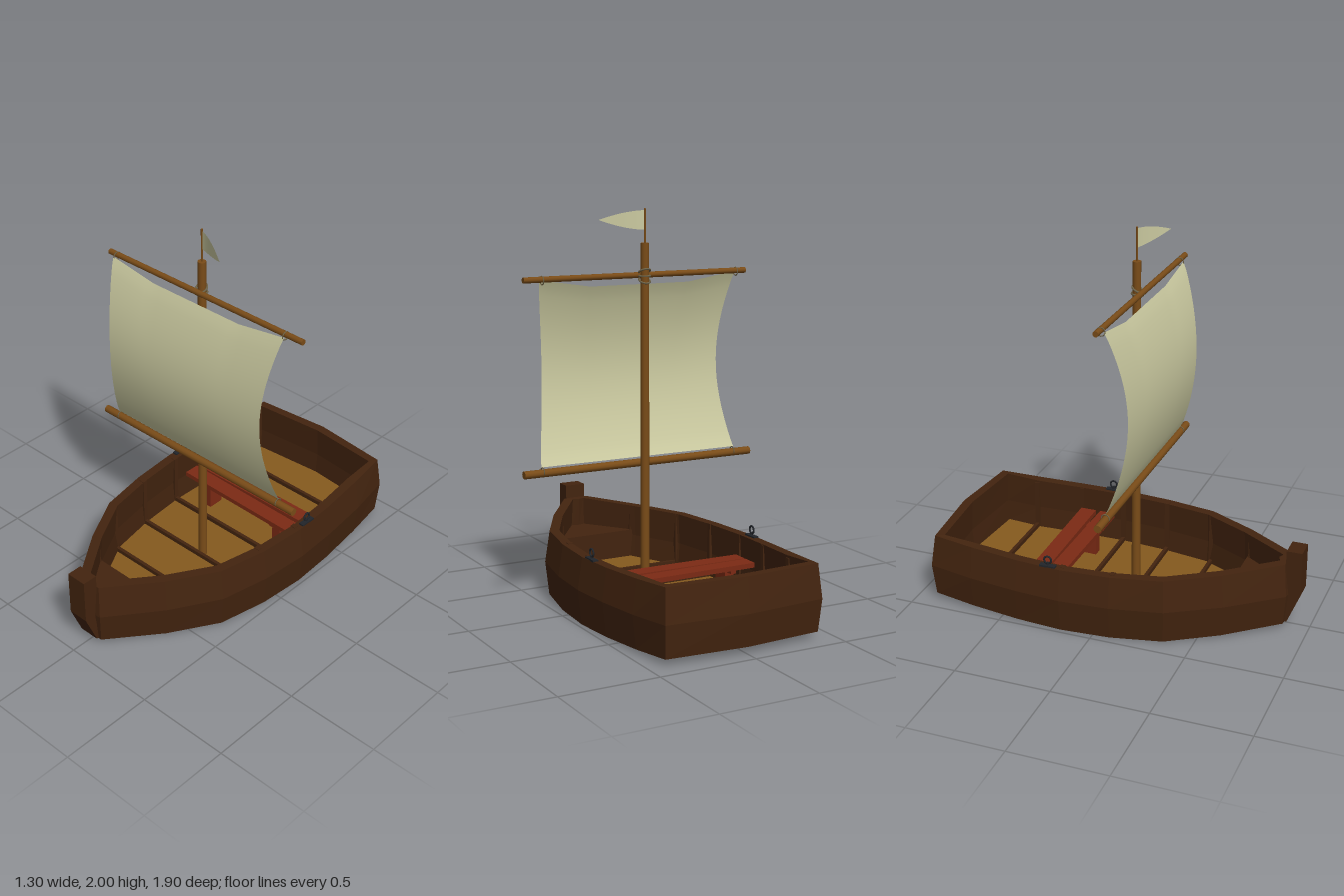
import * as THREE from 'three';

const mat = (color, flat = true) =>
  new THREE.MeshStandardMaterial({ color, flatShading: flat, side: THREE.DoubleSide });
const darkWood = mat(0x43240f), floorWood = mat(0x855a1e), sparWood = mat(0x7a4c18, false);
const redWood = mat(0x7c2a14), cloth = mat(0xcdcca2, false), iron = mat(0x22252a, false), rope = mat(0x6f6448, false);

function add(parent, name, geometry, material, x = 0, y = 0, z = 0) {
  const mesh = new THREE.Mesh(geometry, material);
  mesh.name = name;
  mesh.position.set(x, y, z);
  parent.add(mesh);
  return mesh;
}

// Half outline of the hull at its widest level: [half width, z], stern to bow
const half = [[0, -0.95], [0.425, -0.91], [0.463, -0.67], [0.487, -0.41], [0.497, -0.17],
  [0.477, 0.09], [0.425, 0.36], [0.28, 0.62], [0.085, 0.89], [0, 0.9]];
const outline = [...half, ...half.slice(1, -1).reverse().map(([x, z]) => [-x, z])];
const rise = (base, lift) => z => base + lift * (z / 0.9) ** 2;
const keelY = rise(0.003, 0.032), midY = rise(0.18, 0.02), sheerY = rise(0.342, 0.028), floorY = rise(0.06, 0.025);

// One closed ring: the outline moved inward by inset, at a height depending on z
function ring(inset, height, widthScale = 1) {
  const n = outline.length;
  return outline.map(([x, z], i) => {
    const p = outline[(i + n - 1) % n], q = outline[(i + 1) % n];
    const tx = q[0] - p[0], tz = q[1] - p[1], l = Math.hypot(tx, tz);
    return [(x - inset * tz / l) * widthScale, height(z), z + inset * tx / l];
  });
}

// Skin through successive rings
function loft(rings) {
  const pos = [], index = [], n = rings[0].length;
  rings.forEach(r => r.forEach(p => pos.push(...p)));
  for (let k = 0; k < rings.length - 1; k++) {
    for (let i = 0; i < n; i++) {
      const a = k * n + i, b = k * n + (i + 1) % n, c = a + n, d = b + n;
      index.push(a, c, b, b, c, d);
    }
  }
  const g = new THREE.BufferGeometry();
  g.setAttribute('position', new THREE.Float32BufferAttribute(pos, 3));
  g.setIndex(index);
  const flat = g.toNonIndexed();
  flat.computeVertexNormals();
  return flat;
}

// Curved sheet from a rule p(u, v), both running 0..1
function sheet(nu, nv, rule) {
  const g = new THREE.PlaneGeometry(1, 1, nu, nv), p = g.attributes.position;
  for (let i = 0; i < p.count; i++) p.setXYZ(i, ...rule(p.getX(i) + 0.5, p.getY(i) + 0.5));
  g.computeVertexNormals();
  return g;
}

function buildHull(boat) {
  const hull = new THREE.Group();
  hull.name = 'hull';
  boat.add(hull);
  add(hull, 'planking', loft([ring(0.02, keelY, 0), ring(0.02, keelY), ring(0, midY),
    ring(0.025, sheerY), ring(0.075, sheerY), ring(0.065, midY), ring(0.075, floorY)]), darkWood);
  add(hull, 'floor', loft([ring(0.07, floorY), ring(0.07, floorY, 0)]), floorWood);

  // Frames across the floor and up the inner sides
  for (const [w, z] of half.slice(2, 8)) {
    add(hull, 'floorRib', new THREE.BoxGeometry(2 * w - 0.13, 0.03, 0.018), darkWood, 0, floorY(z) + 0.008, z);
    for (const s of [-1, 1]) {
      add(hull, 'sideRib', new THREE.BoxGeometry(0.03, 0.27, 0.025), darkWood, s * (w - 0.065), 0.21, z);
    }
  }

  // Raised bow deck closing off the front compartment
  const deck = new THREE.Shape([[-0.23, 0.6], [0.23, 0.6], [0.05, 0.86], [-0.05, 0.86]]
    .map(p => new THREE.Vector2(...p)));
  add(hull, 'bowDeck', new THREE.ExtrudeGeometry(deck, { depth: 0.15, bevelEnabled: false })
    .rotateX(Math.PI / 2), darkWood, 0, 0.22, 0);

  // Stem post, drawn as (z, y)
  const stem = new THREE.Shape([[0.87, 0.04], [0.89, 0.04], [0.955, 0.2], [0.955, 0.44], [0.875, 0.44]]
    .map(p => new THREE.Vector2(...p)));
  add(hull, 'stemPost', new THREE.ExtrudeGeometry(stem, { depth: 0.11, bevelEnabled: false })
    .rotateY(-Math.PI / 2), darkWood, 0.055, 0, 0);
}

function buildBench(boat) {
  const bench = new THREE.Group();
  bench.name = 'bench';
  boat.add(bench);
  const back = add(bench, 'benchPlankBack', new THREE.BoxGeometry(0.74, 0.025, 0.085), redWood, -0.01, 0.24, -0.348);
  const front = add(bench, 'benchPlankFront', new THREE.BoxGeometry(0.74, 0.025, 0.085), redWood, -0.01, 0.24, -0.247);
  back.rotation.y = 0.01;
  front.rotation.y = -0.015;
  for (const x of [-0.26, 0.24]) {
    add(bench, 'benchLeg', new THREE.BoxGeometry(0.05, 0.17, 0.09), redWood, x, 0.145, -0.297);
    add(bench, 'benchCleat', new THREE.BoxGeometry(0.03, 0.02, 0.17), redWood, x, 0.22, -0.297);
  }
}

function buildRig(boat) {
  const rig = new THREE.Group();
  rig.name = 'rig';
  boat.add(rig);
  const mastZ = 0.06;
  add(rig, 'mast', new THREE.CylinderGeometry(0.021, 0.023, 1.77, 12), sparWood, 0, 0.945, mastZ);
  add(rig, 'flagPole', new THREE.CylinderGeometry(0.005, 0.005, 0.18, 8), sparWood, 0, 1.91, mastZ);
  const spar = (name, r, len, x, y, z) =>
    add(rig, name, new THREE.CylinderGeometry(r, r, len, 10).rotateZ(Math.PI / 2), sparWood, x, y, z);
  spar('upperYard', 0.015, 1.25, 0.025, 1.67, 0.085);
  spar('lowerYard', 0.02, 1.3, 0, 0.712, 0.107);

  // Rope lashing where the upper yard crosses the mast
  [-0.5, 0, 0.5].forEach((tilt, i) => {
    const loop = add(rig, 'lashing', new THREE.TorusGeometry(0.029, 0.005, 6, 16), rope, 0, 1.645 + 0.022 * i, 0.064);
    loop.rotation.x = Math.PI / 2 + tilt;
  });

  // Billowing square sail with hollow sides and a sagging head
  add(rig, 'sail', sheet(24, 24, (u, v) => {
    const s = 2 * u - 1, belly = Math.sin(Math.PI * v);
    const head = 1.622 + 0.043 * Math.max(0, (Math.abs(s) - 0.5) / 0.5);
    return [s * (0.555 - 0.052 * belly), 0.742 + (head - 0.742) * v, 0.108 + 0.097 * belly ** 0.85];
  }), cloth);
  for (const s of [-1, 1]) {
    for (const [y, z] of [[1.665, 0.09], [0.72, 0.107]]) {
      add(rig, 'sailTie', new THREE.TorusGeometry(0.021, 0.003, 5, 12).rotateY(Math.PI / 2), rope, s * 0.548, y, z);
    }
  }

  // Tapered pennant streaming diagonally
  add(rig, 'pennant', sheet(12, 4, (u, v) => {
    const h = 0.048 * (1 - u ** 1.8);
    return [0.205 * u, 1.943 + (2 * v - 1) * h, mastZ + 0.1 * u ** 1.2];
  }), cloth);
}

function buildOarlocks(boat) {
  for (const s of [-1, 1]) {
    const lock = new THREE.Group();
    lock.name = s > 0 ? 'leftOarlock' : 'rightOarlock';
    lock.position.set(s * 0.455, 0.347, -0.24);
    boat.add(lock);
    add(lock, 'oarlockPlate', new THREE.BoxGeometry(0.028, 0.01, 0.085), iron);
    add(lock, 'oarlockPin', new THREE.CylinderGeometry(0.006, 0.008, 0.02, 8), iron, 0, 0.01, 0);
    add(lock, 'oarlockRing', new THREE.TorusGeometry(0.019, 0.005, 8, 18).rotateY(Math.PI / 2), iron, 0, 0.032, 0);
  }
}

export function createModel() {
  const boat = new THREE.Group();
  boat.name = 'sailingBoat';
  buildHull(boat);
  buildBench(boat);
  buildRig(boat);
  buildOarlocks(boat);
  return boat;
}
